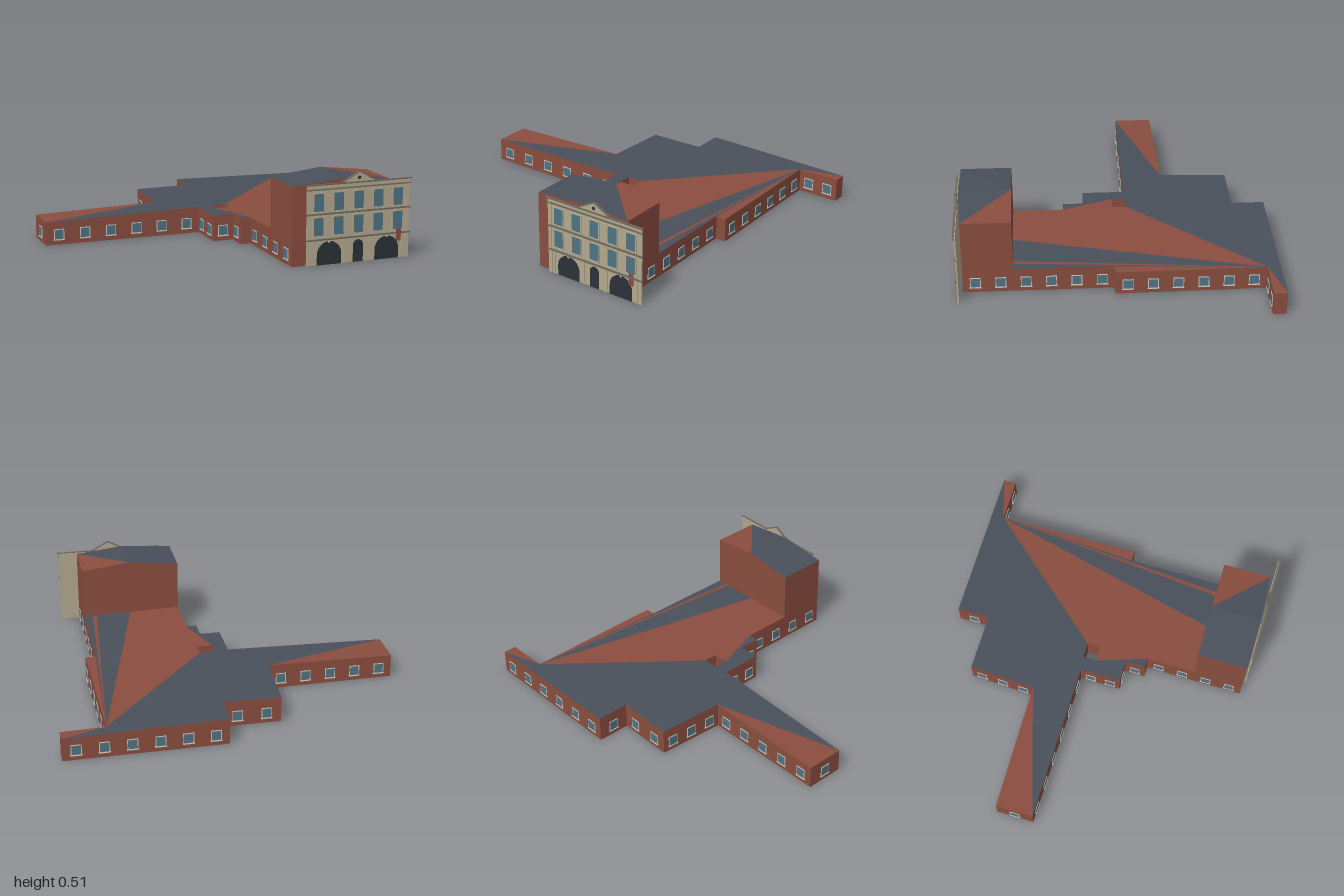
import * as THREE from 'three';

const mat = (color) => new THREE.MeshStandardMaterial({ color, flatShading: true, side: THREE.DoubleSide });
const BRICK = mat(0x8a4d3f), SLATE = mat(0x49505a), STONE = mat(0xb3a88e), TRIM = mat(0x6f695c),
  GLASS = mat(0x4f7384), FRAME = mat(0xc9c6bc), DARK = mat(0x2b3138);

// Plan corners as [x, z], walked so that outward is to the right of travel
const OUTLINE = [[0.11, 0.87], [0.70, 0.86], [0.70, 0.02], [0.76, 0.02], [0.75, -0.82], [1, -0.82], [1, -0.895],
  [0.09, -0.89], [0.09, -0.70], [-0.24, -0.70], [-0.26, -0.31], [-1, -0.30], [-1, -0.08], [-0.07, -0.07],
  [-0.07, 0.17], [0.05, 0.17], [0.05, 0.29], [0.11, 0.29]];
const COURT = [[0.01, -0.08], [0.10, -0.08], [0.10, 0], [0.01, 0]];
const roofY = (x) => 0.155 - 0.02 * Math.abs(x);

function add(parent, name, geometry, material, x = 0, y = 0, z = 0) {
  const mesh = new THREE.Mesh(geometry, material);
  mesh.name = name;
  mesh.position.set(x, y, z);
  parent.add(mesh);
  return mesh;
}
const box = (parent, name, material, w, h, d, x, y, z) =>
  add(parent, name, new THREE.BoxGeometry(w, h, d), material, x, y, z);

const planShape = (pts) => new THREE.Shape(pts.map(([x, z]) => new THREE.Vector2(x, -z)));

// Horizontal polygon whose height follows a rule
function sheet(pts, heightAt, hole) {
  const shape = planShape(pts);
  if (hole) shape.holes.push(planShape(hole));
  const g = new THREE.ShapeGeometry(shape).rotateX(-Math.PI / 2);
  const p = g.attributes.position;
  for (let i = 0; i < p.count; i++) p.setY(i, heightAt(p.getX(i), p.getZ(i)));
  g.computeVertexNormals();
  return g;
}

// Vertical walls round a plan
function walls(pts, heightAt, base = 0) {
  const v = [];
  pts.forEach(([x, z], i) => {
    const [u, w] = pts[(i + 1) % pts.length];
    const a = [x, base, z], b = [u, base, w], c = [u, heightAt(u, w), w], d = [x, heightAt(x, z), z];
    v.push(...a, ...b, ...c, ...a, ...c, ...d);
  });
  const g = new THREE.BufferGeometry();
  g.setAttribute('position', new THREE.Float32BufferAttribute(v, 3));
  g.computeVertexNormals();
  return g;
}

function wingWindow(parent, x, z, angle) {
  const win = new THREE.Group();
  win.name = 'wingWindow';
  box(win, 'windowFrame', FRAME, 0.06, 0.063, 0.006, 0, 0, 0);
  box(win, 'windowGlass', GLASS, 0.051, 0.054, 0.008, 0, 0, 0);
  box(win, 'windowSill', FRAME, 0.066, 0.005, 0.012, 0, -0.032, 0);
  win.position.set(x, 0.06, z);
  win.rotation.y = angle;
  parent.add(win);
}

function lowBuilding() {
  const g = new THREE.Group();
  g.name = 'lowBuilding';
  add(g, 'outerWalls', walls(OUTLINE, roofY), BRICK);
  add(g, 'courtWalls', walls(COURT, roofY), BRICK);
  add(g, 'floor', sheet(OUTLINE, () => 0, COURT), BRICK);

  // Roof fields in two colours, fanning from the back corner
  const hub = [0.75, -0.82];
  const slate = [
    [[-1, -0.08], [-0.26, -0.31], [-0.24, -0.70], [0.09, -0.70], [0.09, -0.89], [1, -0.895], hub, [0.10, -0.08],
      [0.01, -0.08], [0.01, 0], [0.11, 0.29], [0.05, 0.29], [0.05, 0.17], [-0.07, 0.17], [-0.07, -0.07]],
    [hub, [0.41, 0.58], [0.62, 0.58]],
    [hub, [0.645, 0.58], [0.70, 0.58], [0.70, 0.02]],
  ];
  const brick = [
    [[-1, -0.30], [-0.26, -0.31], [-1, -0.08]],
    [hub, [0.10, -0.08], [0.10, 0], [0.01, 0], [0.11, 0.29], [0.11, 0.58], [0.41, 0.58]],
    [hub, [0.62, 0.58], [0.645, 0.58]],
    [hub, [0.70, 0.02], [0.76, 0.02]],
    [hub, [1, -0.82], [1, -0.895]],
  ];
  for (const p of slate) add(g, 'slateRoof', sheet(p, roofY), SLATE);
  for (const p of brick) add(g, 'brickRoof', sheet(p, roofY), BRICK);

  // Evenly spaced windows on every long wall except behind the stone front
  OUTLINE.forEach(([x, z], i) => {
    if (i === 0) return;
    const [u, w] = OUTLINE[(i + 1) % OUTLINE.length];
    const dx = u - x, dz = w - z, len = Math.hypot(dx, dz);
    const n = len < 0.11 ? 0 : Math.max(1, Math.round(len / 0.15));
    for (let k = 0; k < n; k++) {
      const t = (k + 0.5) / n;
      wingWindow(g, x + dx * t, z + dz * t, Math.atan2(-dz, dx));
    }
  });
  return g;
}

function tower() {
  const g = new THREE.Group();
  g.name = 'tower';
  const plan = [[0.11, 0.87], [0.41, 0.875], [0.70, 0.86], [0.70, 0.58], [0.41, 0.58], [0.11, 0.58]];
  const top = (x, z) => (Math.abs(x - 0.41) < 0.01 ? (z > 0.7 ? 0.47 : 0.48) : 0.445);
  add(g, 'towerWalls', walls(plan, top, 0.13), BRICK);
  add(g, 'towerRoof', sheet([plan[0], plan[1], plan[4], plan[5]], top), SLATE);
  add(g, 'towerRoof', sheet([plan[1], plan[2], plan[4]], top), SLATE);
  add(g, 'towerRoofBrick', sheet([plan[2], plan[3], plan[4]], top), BRICK);
  return g;
}

// Door opening with a round head
function arch(w, h) {
  const r = w / 2, s = new THREE.Shape();
  s.moveTo(-r, 0);
  s.lineTo(r, 0);
  s.lineTo(r, h - r);
  s.absarc(0, h - r, r, 0, Math.PI, false);
  s.lineTo(-r, 0);
  return new THREE.ExtrudeGeometry(s, { depth: 0.003, bevelEnabled: false, curveSegments: 10 });
}

function gable(w, h, d) {
  const s = new THREE.Shape([new THREE.Vector2(-w / 2, 0), new THREE.Vector2(w / 2, 0), new THREE.Vector2(0, h)]);
  return new THREE.ExtrudeGeometry(s, { depth: d, bevelEnabled: false });
}

function stoneFront() {
  const g = new THREE.Group();
  g.name = 'stoneFront';
  const z = 0.885;
  box(g, 'frontPanel', STONE, 0.62, 0.445, 0.006, 0.5, 0.2225, 0.881);
  // Bands between floors and the crowning cornice
  for (const [y, h, w] of [[0.142, 0.008, 0.63], [0.284, 0.008, 0.63], [0.42, 0.006, 0.63], [0.446, 0.007, 0.64]])
    box(g, 'cornice', TRIM, w, h, 0.012, 0.5, y, 0.888);
  for (const x of [0.2, 0.8]) box(g, 'cornerPilaster', STONE, 0.022, 0.44, 0.006, x, 0.22, z);

  // Two rows of five tall windows
  for (let i = 0; i < 5; i++) {
    const x = 0.26 + i * 0.12;
    for (const [y, h] of [[0.215, 0.108], [0.346, 0.1]]) {
      box(g, 'tallWindow', GLASS, 0.06, h, 0.004, x, y, z);
      box(g, 'sill', STONE, 0.072, 0.006, 0.008, x, y - h / 2, z + 0.002);
      for (const s of [-1, 1]) box(g, 'windowJamb', STONE, 0.006, h, 0.007, x + s * 0.032, y, z);
    }
    add(g, 'windowGable', gable(0.078, 0.016, 0.006), STONE, x, 0.264, z - 0.001);
    box(g, 'windowHead', STONE, 0.076, 0.006, 0.008, x, 0.4, z);
  }

  // Ground-floor openings
  for (const x of [0.325, 0.675]) {
    add(g, 'archedGate', arch(0.145, 0.13), DARK, x, 0, z - 0.001);
    box(g, 'keystone', STONE, 0.014, 0.018, 0.008, x, 0.131, z);
  }
  add(g, 'archedDoor', arch(0.06, 0.125), DARK, 0.5, 0, z - 0.001);
  for (const x of [0.225, 0.425, 0.575, 0.775])
    box(g, 'lowerPilaster', STONE, 0.02, 0.138, 0.005, x, 0.069, z);

  // Pediment with round ornament
  add(g, 'pediment', gable(0.2, 0.053, 0.008), STONE, 0.5, 0.45, 0.879);
  for (const s of [-1, 1]) {
    const rake = box(g, 'pedimentRake', TRIM, 0.115, 0.005, 0.012, 0.5 + s * 0.05, 0.477, 0.884);
    rake.rotation.z = -s * Math.atan2(0.053, 0.1);
  }
  add(g, 'pedimentOrnament', new THREE.CylinderGeometry(0.01, 0.01, 0.004, 8).rotateX(Math.PI / 2), DARK, 0.5, 0.471, 0.888);

  // Blank hanging board
  box(g, 'hangingBoard', BRICK, 0.028, 0.07, 0.006, 0.745, 0.133, 0.891);
  return g;
}

export function createModel() {
  const model = new THREE.Group();
  model.name = 'building';
  model.add(lowBuilding(), tower(), stoneFront());
  return model;
}
